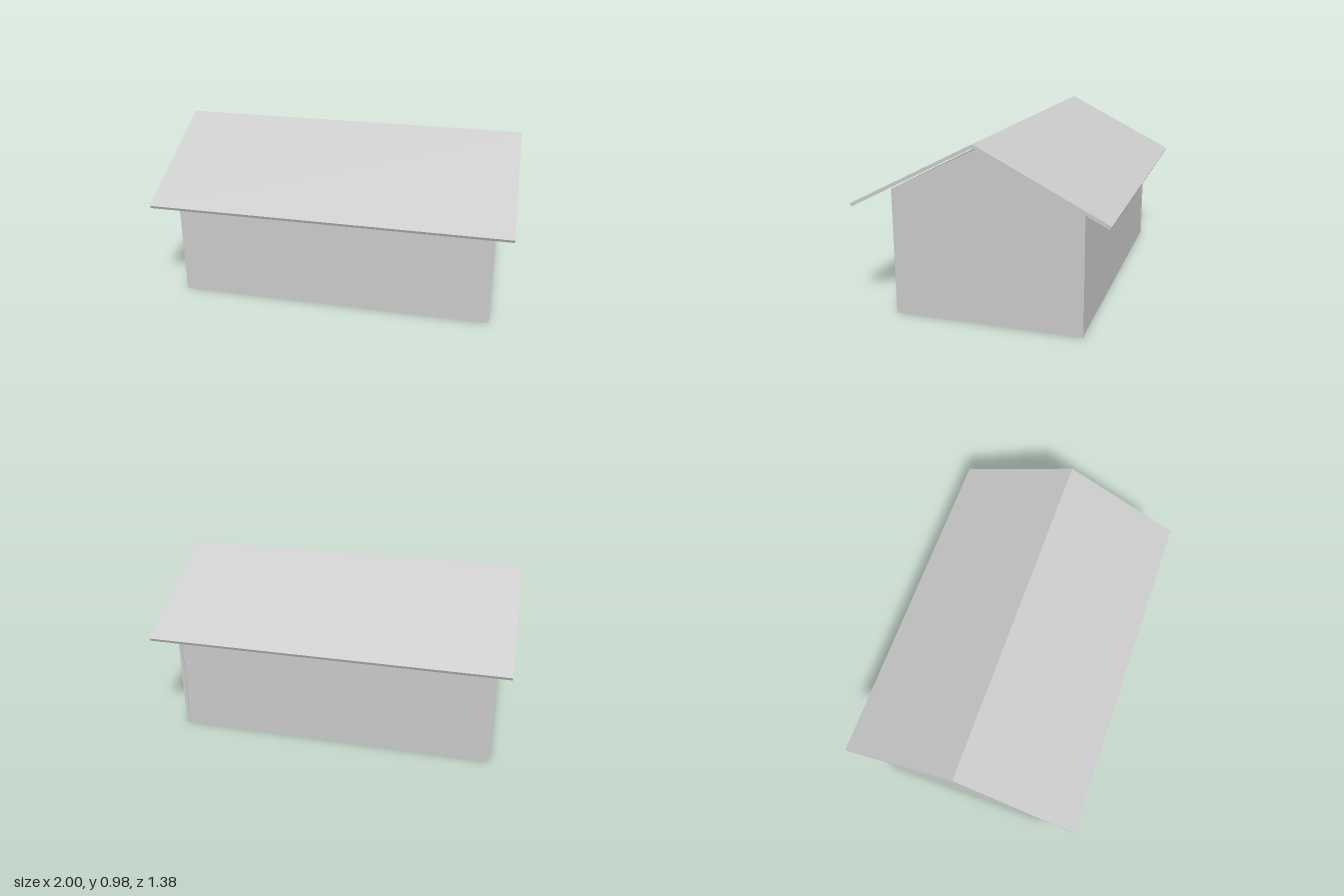
import * as THREE from 'three';

const material = new THREE.MeshStandardMaterial({ color: 0xcccccc, flatShading: true });

// Extrudes a [z, y] outline along x, from x0 to x1.
function slab(name, outline, x0, x1) {
  const shape = new THREE.Shape(outline.map(([z, y]) => new THREE.Vector2(-z, y)));
  const geometry = new THREE.ExtrudeGeometry(shape, { depth: x1 - x0, bevelEnabled: false });
  geometry.rotateY(Math.PI / 2).translate(x0, 0, 0);
  const mesh = new THREE.Mesh(geometry, material);
  mesh.name = name;
  return mesh;
}

export function createModel() {
  const group = new THREE.Group();
  group.name = 'house';

  const t = 0.02; // wall thickness
  const left = 0.905, right = -0.92, front = 0.5, back = -0.543;

  // Gable end walls, with the peak just behind the centre
  const gable = [[front, 0], [front, 0.698], [-0.01, 0.951], [back, 0.685], [back, 0]];
  group.add(slab('leftGableWall', gable, left - t, left));
  group.add(slab('rightGableWall', gable, right, right + t));

  // Long walls between the gables, tops following the roof slope
  group.add(slab('frontWall',
    [[front, 0], [front, 0.698], [front - t, 0.708], [front - t, 0]], right + t, left - t));
  const outer = back + 0.004;
  group.add(slab('backWall',
    [[outer, 0], [outer, 0.687], [outer + t, 0.697], [outer + t, 0]], right + t, left - t));

  // Two sloping roof panels meeting at the ridge; the house is open below
  for (const [name, s] of [['frontRoof', 1], ['backRoof', -1]]) {
    const panel = [[0, 0.98], [0.692, 0.629], [0.684, 0.612], [0, 0.96]];
    group.add(slab(name, panel.map(([z, y]) => [z * s, y]), -1, 1));
  }
  return group;
}
